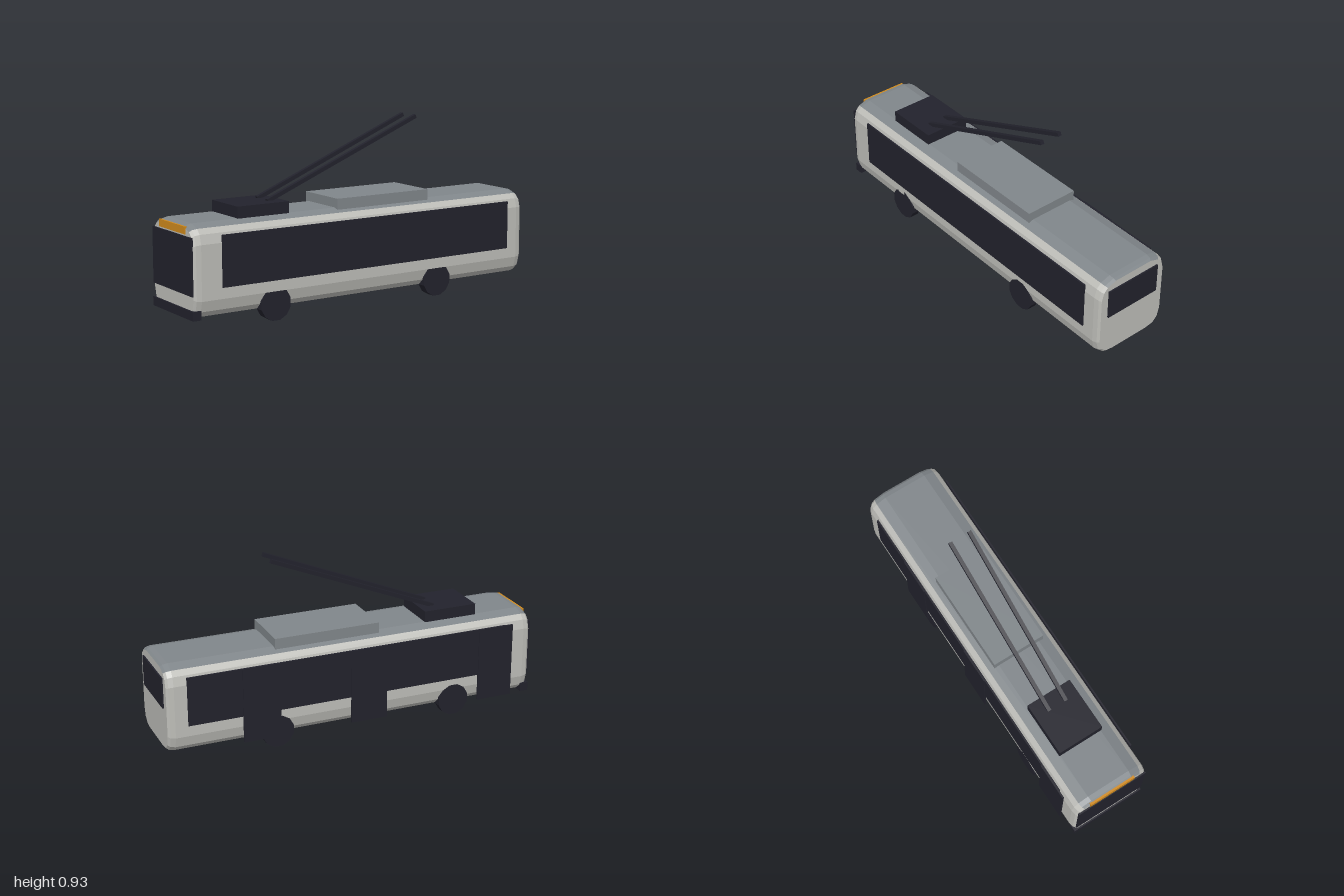
import * as THREE from 'three';

const flat = (color, name) => {
  const m = new THREE.MeshStandardMaterial({ color, flatShading: true });
  m.name = name;
  return m;
};

export function createModel() {
  const bus = new THREE.Group();
  bus.name = 'trolleybus';
  const paint = flat(0xbdbdb8, 'body paint');
  const roofGrey = flat(0x80868a, 'roof grey');
  const dark = flat(0x22222c, 'dark glass and trim');
  const amber = flat(0xd08a1c, 'amber sign');

  const add = (name, geometry, material) => {
    const mesh = new THREE.Mesh(geometry, material);
    mesh.name = name;
    bus.add(mesh);
    return mesh;
  };
  // Box given by its limits on each axis
  const box = (name, [x0, x1], [y0, y1], [z0, z1], material) => {
    const mesh = add(name, new THREE.BoxGeometry(x1 - x0, y1 - y0, z1 - z0), material);
    mesh.position.set((x0 + x1) / 2, (y0 + y1) / 2, (z0 + z1) / 2);
    return mesh;
  };

  add('body', bodyGeometry(), [paint, roofGrey]);

  // Glazing at both sides and both ends
  box('leftWindows', [-0.845, 0.89], [0.2, 0.453], [0.21, 0.219], dark);
  box('rightWindows', [-0.845, 0.89], [0.2, 0.453], [-0.217, -0.208], dark);
  box('windscreen', [-1, -0.991], [0.17, 0.45], [-0.198, 0.198], dark);
  box('rearWindow', [0.991, 1], [0.29, 0.448], [-0.157, 0.157], dark);

  // Doors on one side only
  for (const x of [-0.787, -0.068, 0.51]) {
    box('door', [x - 0.098, x + 0.098], [0.06, 0.453], [-0.221, -0.212], dark);
  }

  // Destination sign and bumper at the driving end
  box('destinationSign', [-0.997, -0.985], [0.458, 0.495], [-0.13, 0.13], amber);
  box('bumper', [-1, -0.955], [0.055, 0.1], [-0.205, 0.205], dark);

  // Wheels
  for (const x of [-0.55, 0.425]) {
    for (const side of [-1, 1]) {
      const wheel = add('wheel', new THREE.CylinderGeometry(0.085, 0.085, 0.048, 12), dark);
      wheel.rotation.set(Math.PI / 2, Math.PI / 12, 0);
      wheel.position.set(x, 0.083, side * 0.188);
    }
  }

  // Roof equipment
  box('roofUnit', [-0.15, 0.41], [0.495, 0.552], [-0.146, 0.146], roofGrey);
  box('poleBase', [-0.71, -0.42], [0.495, 0.562], [-0.125, 0.125], dark);

  // Current collector poles, spreading slightly towards the tips
  for (const side of [-1, 1]) {
    const from = new THREE.Vector3(-0.5, 0.56, side * 0.049);
    const to = new THREE.Vector3(0.392, 0.925, side * 0.055);
    const pole = add('trolleyPole', new THREE.BoxGeometry(0.02, 0.02, from.distanceTo(to)), dark);
    pole.position.copy(from).add(to).multiplyScalar(0.5);
    pole.lookAt(to);
  }
  return bus;
}

// Body shell lofted along x from a section with bevelled corners
function bodyGeometry() {
  const half = [
    [0.12, 0.055], [0.168, 0.063], [0.198, 0.092], [0.212, 0.145],
    [0.212, 0.415], [0.199, 0.462], [0.175, 0.487], [0.12, 0.505],
  ];
  const section = [...half, ...half.map(([z, y]) => [-z, y]).reverse()];
  const n = section.length;
  const stations = [[-0.992, 0.014], [-0.98, 0.005], [-0.955, 0], [0.955, 0], [0.98, 0.005], [0.992, 0.014]];
  const midY = 0.28;
  const rings = stations.map(([x, inset]) => section.map(([z, y]) => [
    x,
    midY + (y - midY) * (1 - inset / 0.225),
    z * (1 - inset / 0.212),
  ]));
  const shell = [];
  const roof = [];
  for (let s = 0; s < rings.length - 1; s++) {
    for (let i = 0; i < n; i++) {
      const j = (i + 1) % n;
      const a = rings[s][i], b = rings[s + 1][i], c = rings[s + 1][j], d = rings[s][j];
      const target = i >= 6 && i <= 8 ? roof : shell;
      target.push(...a, ...b, ...c, ...a, ...c, ...d);
    }
  }
  // End caps
  const front = rings[0], back = rings[rings.length - 1];
  for (let i = 0; i < n; i++) {
    const j = (i + 1) % n;
    shell.push(front[0][0], midY, 0, ...front[i], ...front[j]);
    shell.push(back[0][0], midY, 0, ...back[j], ...back[i]);
  }
  const g = new THREE.BufferGeometry();
  g.setAttribute('position', new THREE.Float32BufferAttribute([...shell, ...roof], 3));
  g.addGroup(0, shell.length / 3, 0);
  g.addGroup(shell.length / 3, roof.length / 3, 1);
  g.computeVertexNormals();
  return g;
}
